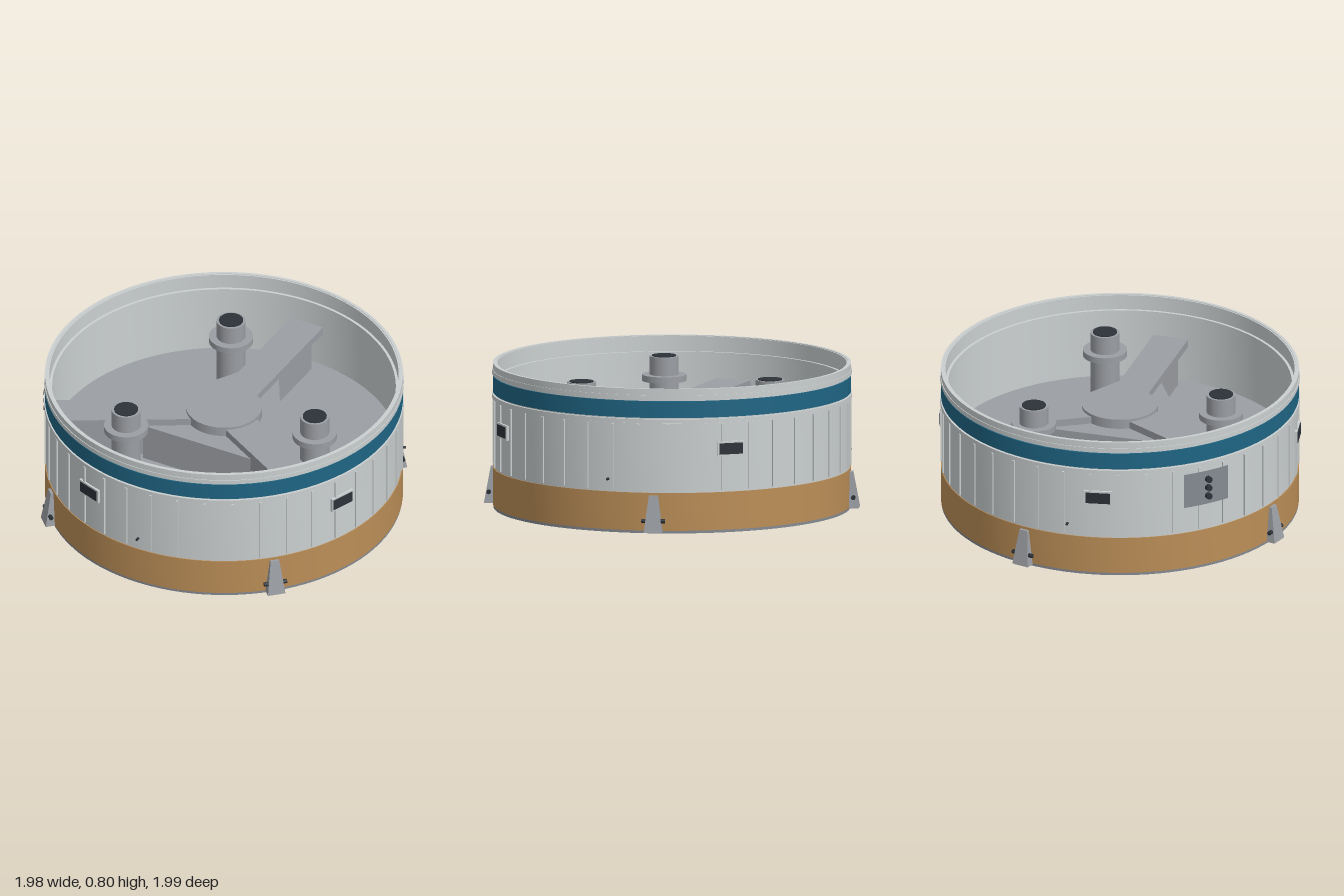
import * as THREE from 'three';
import { toCreasedNormals } from 'three/addons/utils/BufferGeometryUtils.js';

const mat = (name, color) => {
  const m = new THREE.MeshStandardMaterial({ color });
  m.name = name;
  return m;
};
const rad = THREE.MathUtils.degToRad;

export function createModel() {
  const hull = mat('hull pale grey', 0xcbd0d0);
  const grey = mat('structure grey', 0x9b9ea3);
  const tan = mat('skirt tan', 0xbb8e57);
  const shieldTan = mat('shield brown', 0xa0743f);
  const teal = mat('band teal', 0x1f6584);
  const dark = mat('dark fittings', 0x2c3238);
  const panelGrey = mat('panel grey', 0x858a92);

  const model = new THREE.Group();
  model.name = 'stageRing';

  const add = (name, geo, material, x = 0, y = 0, z = 0, parent = model) => {
    const m = new THREE.Mesh(geo, material);
    m.name = name;
    m.position.set(x, y, z);
    parent.add(m);
    return m;
  };
  // group turned about y, so that its +z points outward at the given angle
  const spoke = (name, deg) => {
    const g = new THREE.Group();
    g.name = name;
    g.rotation.y = rad(deg);
    model.add(g);
    return g;
  };
  const ring = (name, rIn, rOut, y0, y1, material) => {
    const pts = [[rIn, y0], [rOut, y0], [rOut, y1], [rIn, y1], [rIn, y0]]
      .map(([r, y]) => new THREE.Vector2(r, y));
    return add(name, toCreasedNormals(new THREE.LatheGeometry(pts, 96), 0.6), material);
  };
  const box = (w, h, d) => new THREE.BoxGeometry(w, h, d);
  const cyl = (r, h, n = 40) => new THREE.CylinderGeometry(r, r, h, n);

  // outer wall and its bands
  ring('wall', 0.96, 0.977, 0.012, 0.8, hull);
  ring('skirt', 0.977, 0.985, 0.015, 0.225, tan);
  ring('skirtFoot', 0.958, 0.983, 0, 0.015, panelGrey);
  ring('wallPanels', 0.977, 0.98, 0.225, 0.61, hull);
  ring('lowerCollar', 0.977, 0.99, 0.612, 0.635, hull);
  ring('tealBand', 0.977, 0.985, 0.642, 0.735, teal);
  ring('upperCollar', 0.977, 0.989, 0.742, 0.768, hull);
  ring('topRim', 0.968, 0.985, 0.768, 0.803, hull);
  ring('innerUpperLedge', 0.945, 0.96, 0.69, 0.715, hull);
  ring('innerLowerLedge', 0.945, 0.96, 0.12, 0.14, hull);

  // vertical ribs
  for (let i = 0; i < 40; i++) {
    add('rib', box(0.014, 0.37, 0.012), hull, 0, 0.42, 0.982, spoke('ribSpoke', 4.5 + i * 9));
  }

  // framed vents
  for (const a of [-20, 70, 160, 250]) {
    const g = spoke('vent', a);
    add('ventFrame', box(0.155, 0.082, 0.024), hull, 0, 0.466, 0.979, g);
    add('ventPane', box(0.135, 0.062, 0.008), dark, 0, 0.466, 0.991, g);
  }

  // small ports
  for (const a of [0, 120, 240]) {
    add('port', cyl(0.007, 0.03, 12), dark, 0, 0.295, 0.985, spoke('portSpoke', a)).rotation.x = Math.PI / 2;
  }

  // curved connector panel with three plugs
  const plate = new THREE.CylinderGeometry(0.99, 0.99, 0.2, 8, 1, true, rad(-82), rad(16));
  const panelMat = panelGrey;
  panelMat.side = THREE.DoubleSide;
  add('connectorPlate', plate, panelMat, 0, 0.48, 0);
  const plugs = spoke('connectorPlugs', -73.7);
  for (const y of [0.43, 0.48, 0.53]) {
    add('plug', cyl(0.018, 0.026, 16), dark, 0, y, 1.0, plugs).rotation.x = Math.PI / 2;
  }

  // tapered hold-down feet with a cross pin
  for (const a of [45, 135, 225, 315]) {
    const g = spoke('foot', a);
    const geo = box(1, 0.2, 1).toNonIndexed();
    const p = geo.attributes.position;
    for (let i = 0; i < p.count; i++) {
      const top = p.getY(i) > 0;
      p.setX(i, p.getX(i) * (top ? 0.05 : 0.1));
      p.setZ(i, p.getZ(i) > 0 ? (top ? 1.0 : 1.035) : 0.95);
    }
    geo.computeVertexNormals();
    add('footBracket', geo, grey, 0, 0.11, 0, g);
    add('footPin', cyl(0.012, 0.13, 12), dark, 0, 0.072, 1.008, g).rotation.z = Math.PI / 2;
  }

  // deck and the shield beneath it, with three round wells
  add('deck', cyl(0.962, 0.015, 96), grey, 0, 0.3075, 0);
  const wells = [60, 180, 300].map(a => [0.53 * Math.sin(rad(a)), 0.53 * Math.cos(rad(a))]);
  const shield = new THREE.Shape().absarc(0, 0, 0.962, 0, Math.PI * 2);
  for (const [x, z] of wells) {
    shield.holes.push(new THREE.Path().absarc(x, z, 0.285, 0, Math.PI * 2, true));
  }
  const shieldGeo = new THREE.ExtrudeGeometry(shield, { depth: 0.025, bevelEnabled: false, curveSegments: 48 });
  add('heatShield', shieldGeo, shieldTan, 0, 0.3, 0).rotation.x = Math.PI / 2;
  for (const [x, z] of wells) {
    add('wellSeal', new THREE.TorusGeometry(0.297, 0.009, 8, 48), dark, x, 0.275, z).rotation.x = Math.PI / 2;
    for (let i = 0; i < 28; i++) {
      const t = (i / 28) * Math.PI * 2;
      add('shieldBolt', cyl(0.011, 0.012, 8), grey, x + 0.41 * Math.cos(t), 0.272, z + 0.41 * Math.sin(t));
    }
  }
  for (const a of [0, 120, 240]) {
    add('shieldSeam', box(0.018, 0.012, 0.84), dark, 0, 0.272, 0.53, spoke('seamSpoke', a));
  }

  // hub, three beams and the gussets between them
  add('hub', cyl(0.21, 0.27, 64), grey, 0, 0.45, 0);
  for (const a of [60, 180, 300]) {
    const g = spoke('beam', a);
    add('beamCap', box(0.2, 0.045, 0.78), grey, 0, 0.5475, 0.56, g);
    add('beamWeb', box(0.12, 0.22, 0.72), grey, 0, 0.42, 0.53, g);
  }
  const gusset = new THREE.Shape([[-0.094, -0.17], [-0.337, -0.31], [0.337, -0.31], [0.094, -0.17]]
    .map(([x, y]) => new THREE.Vector2(x, y)));
  const gussetGeo = new THREE.ExtrudeGeometry(gusset, { depth: 0.215, bevelEnabled: false });
  gussetGeo.rotateX(-Math.PI / 2);
  for (const a of [0, 120, 240]) {
    add('gusset', gussetGeo, grey, 0, 0.315, 0, spoke('gussetSpoke', a));
  }

  // flanged towers on the deck
  for (const a of [85, 205, 325]) {
    const g = spoke('tower', a);
    add('towerColumn', cyl(0.08, 0.43), grey, 0, 0.53, 0.6, g);
    add('towerFlange', cyl(0.122, 0.035), grey, 0, 0.625, 0.6, g);
    add('towerBase', cyl(0.122, 0.035), grey, 0, 0.332, 0.6, g);
    add('towerMouth', cyl(0.066, 0.008), dark, 0, 0.746, 0.6, g);
  }
  return model;
}
